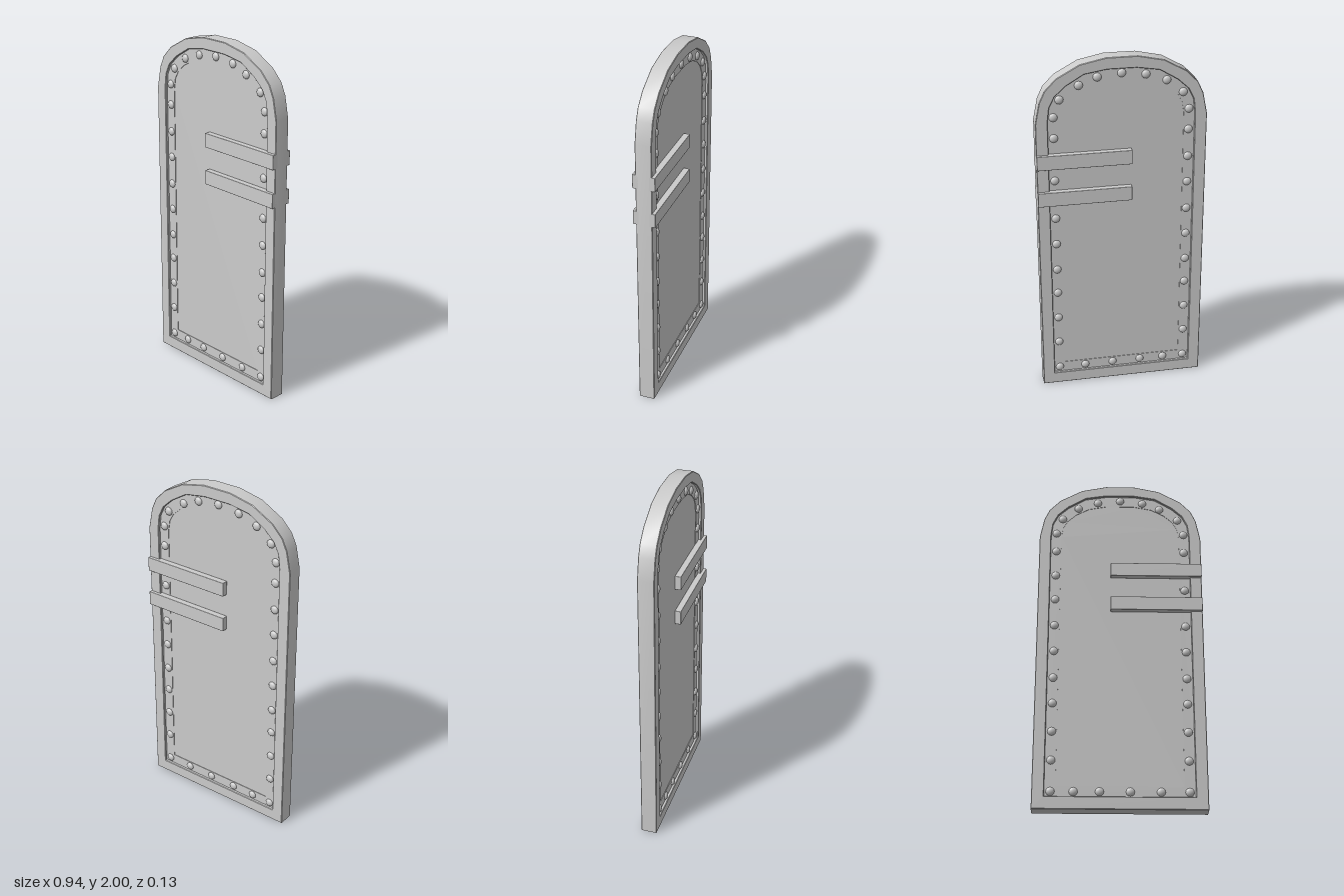
import * as THREE from 'three';
import { toCreasedNormals } from 'three/addons/utils/BufferGeometryUtils.js';
import { RoundedBoxGeometry } from 'three/addons/geometries/RoundedBoxGeometry.js';

const material = new THREE.MeshStandardMaterial({ color: 0xcccccc });

// Right half of each arched outline, from the spring of the arch to its crown
const OUTER = [[0.472, 1.65], [0.448, 1.77], [0.418, 1.835], [0.355, 1.9], [0.228, 1.97], [0.085, 2]];
const RIM = [[0.405, 1.66], [0.395, 1.74], [0.365, 1.8], [0.305, 1.855], [0.205, 1.915], [0.08, 1.935]];
const INNER = [[0.345, 1.66], [0.335, 1.72], [0.31, 1.765], [0.26, 1.81], [0.185, 1.85], [0.08, 1.87]];
const BAND_Z = 0.031;

// Mirrored arch outline standing on the given base height
function archPoints(half, base) {
  const right = [[half[0][0], base], ...half];
  const left = right.map(([x, y]) => [-x, y]).reverse();
  return [...right, ...left].map(([x, y]) => new THREE.Vector2(x, y));
}

function add(parent, name, geometry) {
  const mesh = new THREE.Mesh(geometry, material);
  mesh.name = name;
  parent.add(mesh);
  return mesh;
}

// Arched slab centred in z, with an optional opening and chamfer
function archSlab(outer, depth, hole = null, bevel = 0) {
  const shape = new THREE.Shape(outer);
  if (hole) shape.holes.push(new THREE.Path(hole));
  const geometry = new THREE.ExtrudeGeometry(shape, {
    depth: depth - 2 * bevel,
    bevelEnabled: bevel > 0,
    bevelThickness: bevel,
    bevelSize: bevel,
    bevelOffset: -bevel,
    bevelSegments: 1,
  });
  geometry.translate(0, 0, -depth / 2 + bevel);
  return toCreasedNormals(geometry, 0.75);
}

function rivetPositions() {
  // Crown, bottom row, and the side rivets that differ around the straps
  const spots = [
    [0, 1.907], [-0.247, 1.852], [0.233, 1.852],
    [-0.25, 0.1], [-0.11, 0.1], [0.055, 0.1], [0.22, 0.1],
    [-0.373, 1.245], [-0.373, 1.4], [0.373, 1.31],
  ];
  // Rivets shared by both sides
  const sides = [0.1, 0.275, 0.44, 0.605, 0.757, 0.92, 1.08, 1.56, 1.68];
  for (const s of [-1, 1]) {
    sides.forEach((y) => spots.push([s * 0.373, y]));
    spots.push([s * 0.339, 1.778], [s * 0.132, 1.892]);
  }
  return spots;
}

export function createModel() {
  const door = new THREE.Group();
  door.name = 'archedDoor';

  const outer = archPoints(OUTER, 0);
  const rim = archPoints(RIM, 0.07);
  const inner = archPoints(INNER, 0.13);

  // Raised frame, the lower riveted band inside it, and the panel set just below
  add(door, 'outerFrame', archSlab(outer, 0.092, rim, 0.003));
  add(door, 'rivetBand', archSlab(rim, 2 * BAND_Z, inner));
  add(door, 'panel', archSlab(inner, 2 * BAND_Z - 0.006));

  // Domed rivets and hinge straps on both faces
  const dome = new THREE.SphereGeometry(0.024, 12, 5, 0, Math.PI * 2, 0, Math.PI / 2);
  dome.rotateX(Math.PI / 2);
  dome.scale(1, 1, 0.6);
  const strap = new RoundedBoxGeometry(0.527, 0.083, 0.036, 1, 0.003);
  for (const side of [1, -1]) {
    const face = new THREE.Group();
    face.name = side > 0 ? 'frontFittings' : 'backFittings';
    for (const [x, y] of rivetPositions()) {
      const rivet = add(face, 'rivet', dome);
      rivet.position.set(x, y, side * BAND_Z);
      rivet.rotation.y = side > 0 ? 0 : Math.PI;
    }
    for (const y of [1.212, 1.43]) {
      add(face, 'hingeStrap', strap).position.set(0.2085, y, side * 0.046);
    }
    door.add(face);
  }
  return door;
}
